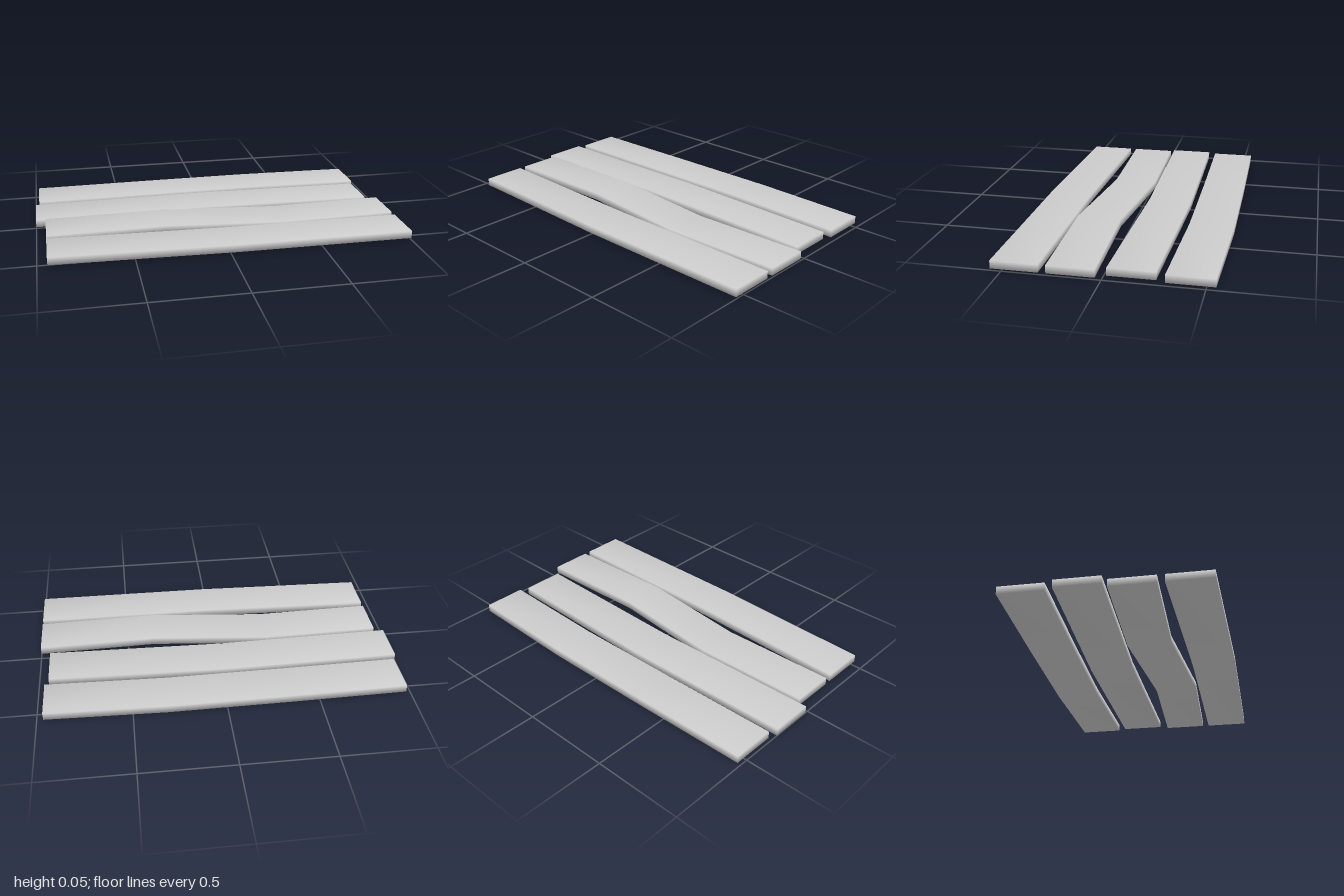
import * as THREE from 'three';
import { mergeVertices } from 'three/addons/utils/BufferGeometryUtils.js';

const LENGTH = 1.947, WIDTH = 0.243, THICKNESS = 0.042;

// Each plank: left end x, underside height, and centre-line z at evenly spaced stations
const PLANKS = [
  { name: 'backPlank', x: -0.98, y: 0, bend: [-0.424, -0.435, -0.441, -0.423] },
  { name: 'middleBackPlank', x: -1.0, y: 0, bend: [-0.138, -0.157, -0.134] },
  { name: 'middleFrontPlank', x: -0.947, y: 0.01, bend: [0.12, 0.105, 0.173, 0.153] },
  { name: 'frontPlank', x: -0.947, y: 0.01, bend: [0.401, 0.432, 0.435] },
];

// A board whose cross-sections slide sideways along a bent centre line
function bentPlank({ x, y, bend }) {
  const segments = bend.length - 1;
  let geometry = new THREE.BoxGeometry(LENGTH, THICKNESS, WIDTH, segments, 1, 1);
  const pos = geometry.attributes.position;
  for (let i = 0; i < pos.count; i++) {
    const station = Math.round((pos.getX(i) / LENGTH + 0.5) * segments);
    pos.setZ(i, pos.getZ(i) + bend[station]);
  }
  geometry.translate(x + LENGTH / 2, y + THICKNESS / 2, 0);

  // Shared corners give the soft shading across the edges
  geometry.deleteAttribute('normal');
  geometry.deleteAttribute('uv');
  geometry = mergeVertices(geometry);
  geometry.computeVertexNormals();
  return geometry;
}

export function createModel() {
  const group = new THREE.Group();
  group.name = 'planks';
  const material = new THREE.MeshStandardMaterial({ color: 0xcccccc });
  for (const plank of PLANKS) {
    const mesh = new THREE.Mesh(bentPlank(plank), material);
    mesh.name = plank.name;
    group.add(mesh);
  }
  return group;
}
